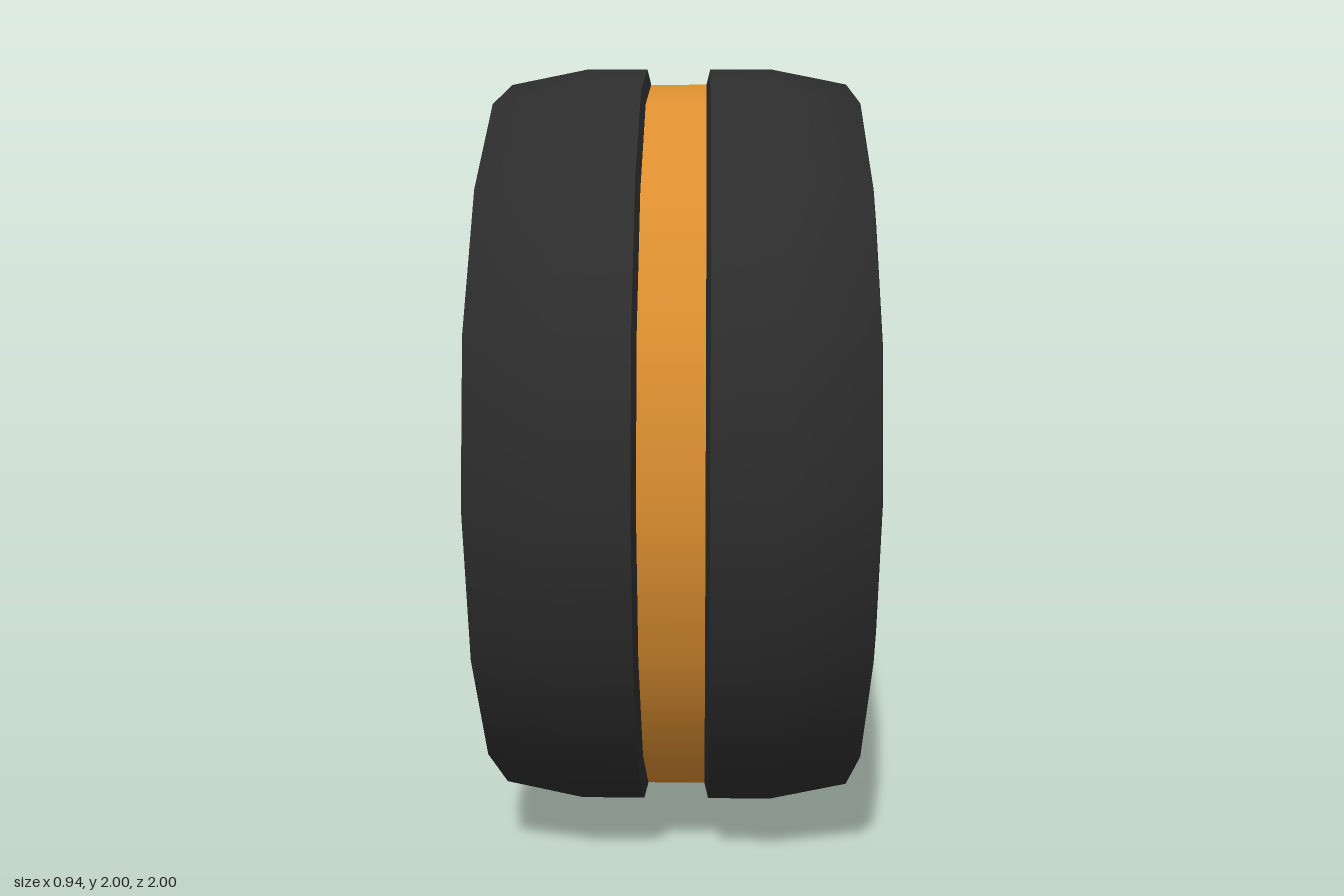
import * as THREE from 'three';

const SIDES = 16;

export function createModel() {
  const black = new THREE.MeshStandardMaterial({ color: 0x2d2d2d });
  black.name = 'black';
  const gold = new THREE.MeshStandardMaterial({ color: 0xdc8f30 });
  gold.name = 'gold';
  const silver = new THREE.MeshStandardMaterial({ color: 0xd6d7db });
  silver.name = 'silver';

  const ring = new THREE.Group();
  ring.name = 'ring';

  // Profile points are [radius, distance along the ring's axis]
  const band = (name, profile, material) => {
    const points = profile.map(([r, a]) => new THREE.Vector2(r, a));
    const geometry = new THREE.LatheGeometry(points, SIDES);
    geometry.rotateZ(-Math.PI / 2);
    const mesh = new THREE.Mesh(geometry, material);
    mesh.name = name;
    ring.add(mesh);
  };
  // The same profile on the other side, reversed so it still faces outward
  const mirror = (profile) => profile.map(([r, a]) => [r, -a]).reverse();

  const shell = [[1, 0.085], [1, 0.25], [0.96, 0.453], [0.85, 0.47], [0.77, 0.44]];
  const wall = [[0.96, 0.075], [1, 0.085]].reverse();
  wall.reverse();
  // Groove walls face the middle of the ring
  const grooveWall = [wall[0], wall[1]];

  band('leftShell', shell, black);
  band('rightShell', mirror(shell), black);
  band('leftGrooveWall', grooveWall, black);
  band('rightGrooveWall', mirror(grooveWall), black);

  // Inlaid stripe in the groove
  band('stripe', [[0.96, -0.075], [0.96, 0.075]], gold);

  // Rounded inner lining, narrowest in the middle
  const half = [[0.77, 0.44], [0.69, 0.25]];
  band('lining', [...half, [0.665, 0.08], [0.665, -0.08], ...mirror(half)], silver);

  ring.position.y = 1;
  const model = new THREE.Group();
  model.name = 'bandRing';
  model.add(ring);
  return model;
}
